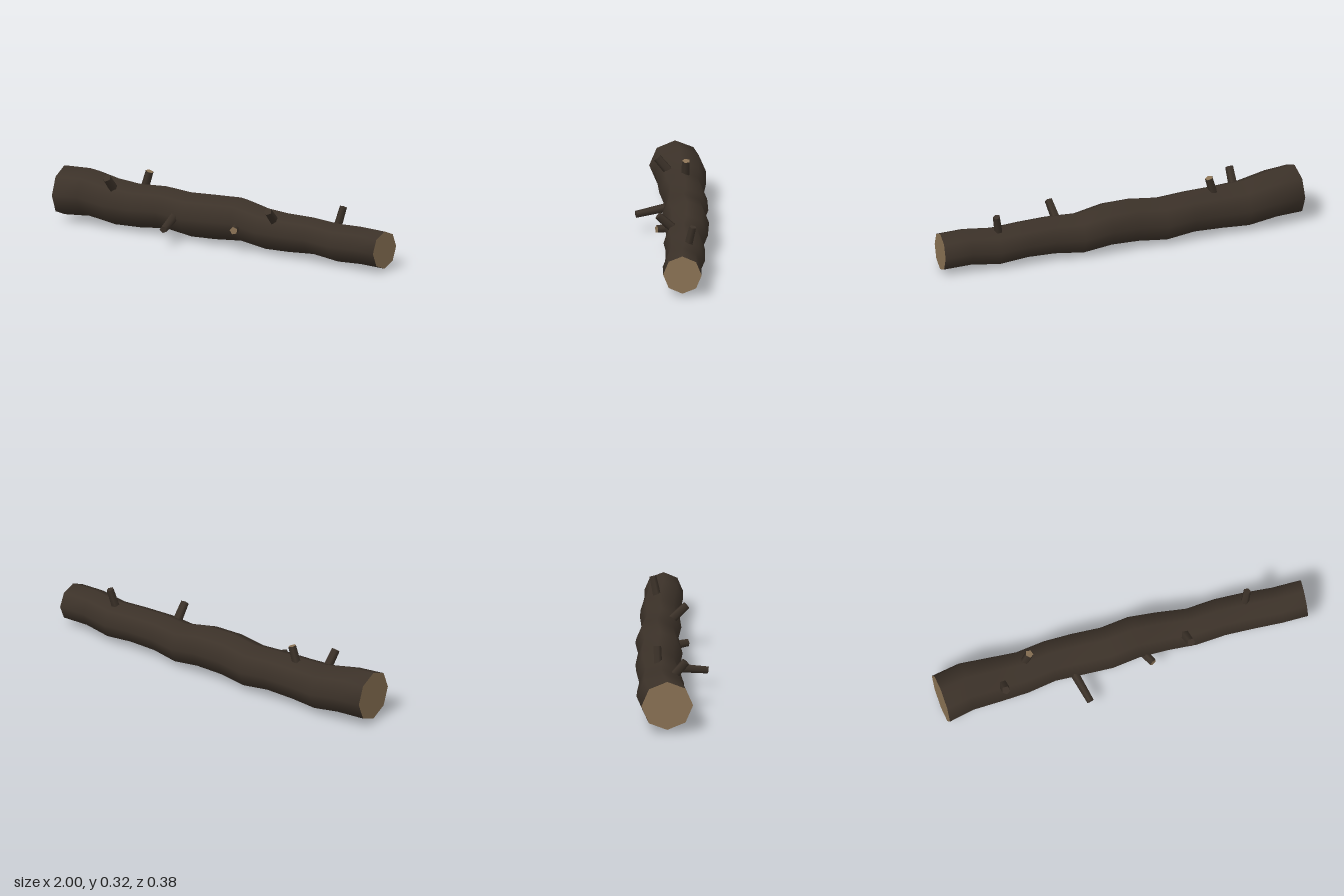
import * as THREE from 'three';

const SIDES = 8;
// Trunk cross-sections, evenly spaced along x: [top y, bottom y, back z, front z]
const RINGS = [
  [0.285, 0.02, -0.163, 0.108], [0.285, 0.026, -0.188, 0.08], [0.255, 0.002, -0.185, 0.067],
  [0.245, 0.009, -0.173, 0.06], [0.25, 0.022, -0.188, 0.04], [0.24, 0.001, -0.192, 0.043],
  [0.253, 0.012, -0.178, 0.055], [0.257, 0.023, -0.192, 0.04], [0.225, 0.002, -0.184, 0.035],
  [0.222, 0.013, -0.158, 0.05], [0.22, 0.022, -0.166, 0.042], [0.21, 0.005, -0.163, 0.045],
  [0.22, 0.018, -0.143, 0.06], [0.216, 0.014, -0.142, 0.06],
];

// Point on a cross-section; both end cuts lean slightly
function ringPoint(i, j) {
  const [top, bottom, back, front] = RINGS[i];
  const last = RINGS.length - 1;
  const a = (j / SIDES) * Math.PI * 2;
  const y = (top + bottom) / 2 + Math.cos(a) * (top - bottom) / 2;
  const z = (front + back) / 2 + Math.sin(a) * (front - back) / 2;
  let x = -1 + (2 * i) / last;
  if (i === 0) x += (z - back) * 0.07;
  if (i === last) x -= (z - back) * 0.07;
  return [x, y, z];
}

function buildGeometry(positions, index) {
  const g = new THREE.BufferGeometry();
  g.setAttribute('position', new THREE.Float32BufferAttribute(positions, 3));
  g.setIndex(index);
  g.computeVertexNormals();
  return g;
}

function trunkGeometry() {
  const pos = [], index = [];
  RINGS.forEach((_, i) => {
    for (let j = 0; j < SIDES; j++) pos.push(...ringPoint(i, j));
  });
  for (let i = 0; i < RINGS.length - 1; i++) {
    for (let j = 0; j < SIDES; j++) {
      const k = (j + 1) % SIDES;
      const a = i * SIDES + j, b = i * SIDES + k, c = a + SIDES, d = b + SIDES;
      index.push(a, b, c, b, d, c);
    }
  }
  return buildGeometry(pos, index);
}

// Flat cut closing the trunk at cross-section i
function endGeometry(i, facesPlusX) {
  const pos = [], index = [];
  for (let j = 0; j < SIDES; j++) pos.push(...ringPoint(i, j));
  for (let j = 1; j < SIDES - 1; j++) {
    index.push(0, ...(facesPlusX ? [j, j + 1] : [j + 1, j]));
  }
  // Angles run from +y to +z, so ascending order faces +x
  return buildGeometry(pos, index);
}

export function createModel() {
  const bark = new THREE.MeshStandardMaterial({ color: 0x3c3229 });
  const wood = new THREE.MeshStandardMaterial({ color: 0x8b7355 });
  bark.name = 'bark';
  wood.name = 'cutWood';

  const log = new THREE.Group();
  log.name = 'log';
  const add = (name, geometry, material) => {
    const mesh = new THREE.Mesh(geometry, material);
    mesh.name = name;
    log.add(mesh);
    return mesh;
  };

  add('trunk', trunkGeometry(), bark);
  add('rightCutEnd', endGeometry(0, false), wood);
  add('leftCutEnd', endGeometry(RINGS.length - 1, true), wood);

  // Broken twigs: base, tip, base radius, tip radius, tip material
  const twigs = [
    [[-0.66, 0.19, -0.01], [-0.664, 0.285, 0.07], 0.026, 0.023, bark],
    [[0.33, 0.17, -0.015], [0.343, 0.255, 0.077], 0.026, 0.022, bark],
    [[-0.53, 0.19, -0.075], [-0.493, 0.314, -0.08], 0.024, 0.022, wood],
    [[-0.28, 0.124, 0.01], [-0.237, 0.096, 0.187], 0.025, 0.02, bark],
    [[0.1, 0.118, 0.01], [0.134, 0.121, 0.083], 0.024, 0.021, wood],
    [[0.675, 0.17, -0.073], [0.7, 0.293, -0.1], 0.023, 0.02, bark],
  ];
  for (const [from, to, r0, r1, tip] of twigs) {
    const a = new THREE.Vector3(...from), b = new THREE.Vector3(...to);
    const dir = b.clone().sub(a);
    const g = new THREE.CylinderGeometry(r1, r0, dir.length(), 5);
    const twig = add('twig', g, [bark, tip, bark]);
    twig.position.copy(a).add(b).multiplyScalar(0.5);
    twig.quaternion.setFromUnitVectors(new THREE.Vector3(0, 1, 0), dir.normalize());
  }
  return log;
}
